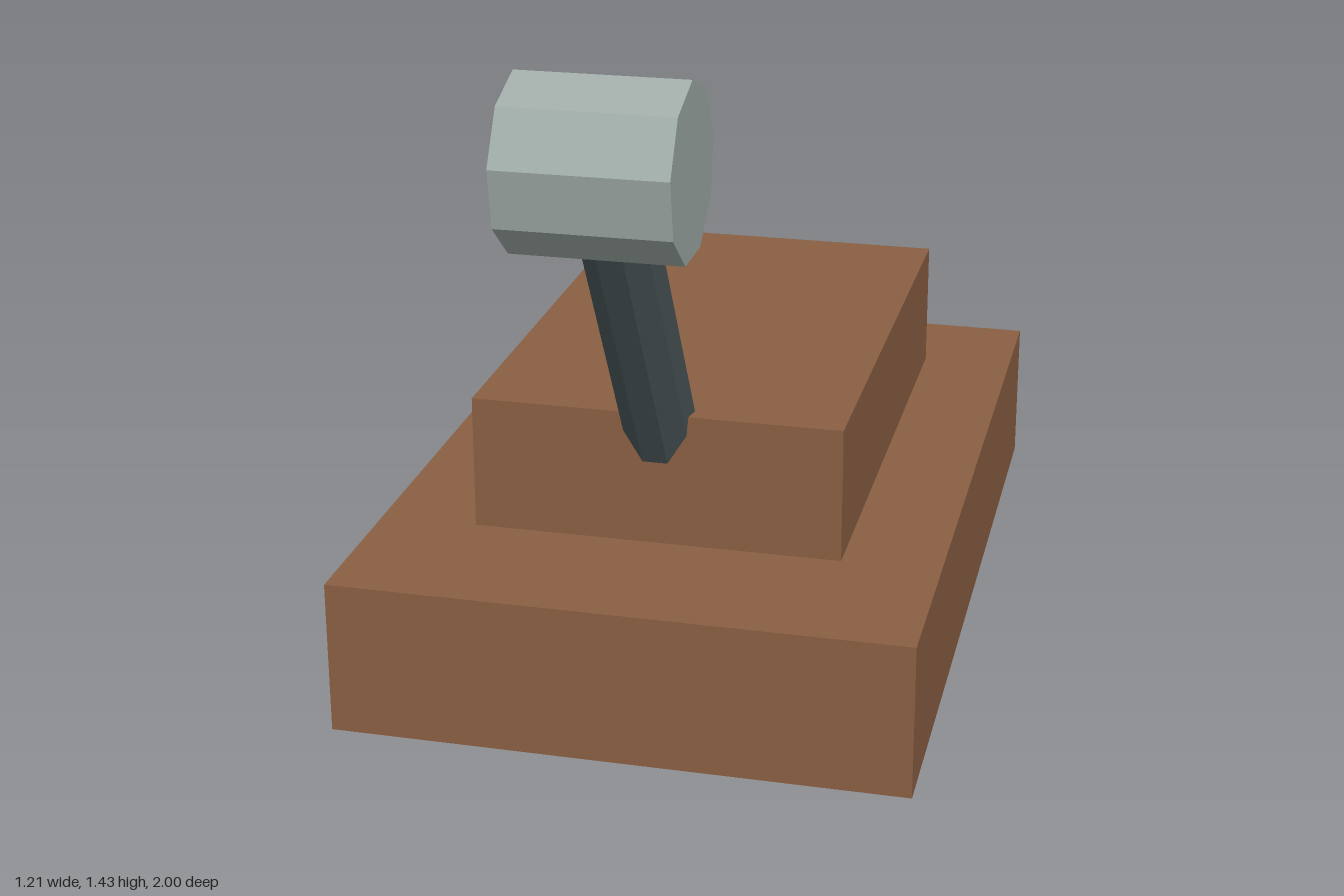
import * as THREE from 'three';

export function createModel() {
  const model = new THREE.Group();
  const brown = new THREE.MeshStandardMaterial({ name: 'brown', color: 0x8a5f43, flatShading: true });
  const darkSteel = new THREE.MeshStandardMaterial({ name: 'dark steel', color: 0x4b575a, flatShading: true });
  const paleGrey = new THREE.MeshStandardMaterial({ name: 'pale grey', color: 0xa0aca8, flatShading: true });

  const add = (name, geometry, material, x, y, z) => {
    const mesh = new THREE.Mesh(geometry, material);
    mesh.name = name;
    mesh.position.set(x, y, z);
    model.add(mesh);
  };

  // Stepped base
  add('basePlate', new THREE.BoxGeometry(1.208, 0.33, 1.808), brown, 0, 0.165, -0.096);
  add('upperBlock', new THREE.BoxGeometry(0.79, 0.29, 1.208), brown, 0, 0.475, -0.142);

  // Leaning nine-sided shaft, from inside the block to the grip's centre
  const foot = new THREE.Vector3(0, 0.42, 0.32);
  const top = new THREE.Vector3(0, 1.257, 0.829);
  const lean = Math.atan2(top.z - foot.z, top.y - foot.y);
  const shaft = new THREE.CylinderGeometry(0.078, 0.078, foot.distanceTo(top), 9)
    .rotateY(Math.PI) // ridge towards the back
    .rotateX(lean);
  const middle = foot.clone().add(top).multiplyScalar(0.5);
  add('leverShaft', shaft, darkSteel, middle.x, middle.y, middle.z);

  // Crosswise nine-sided grip with a ridge on top
  const grip = new THREE.CylinderGeometry(0.173, 0.173, 0.338, 9)
    .rotateY(Math.PI / 2)
    .rotateZ(Math.PI / 2);
  add('leverGrip', grip, paleGrey, top.x, top.y, top.z);

  return model;
}
